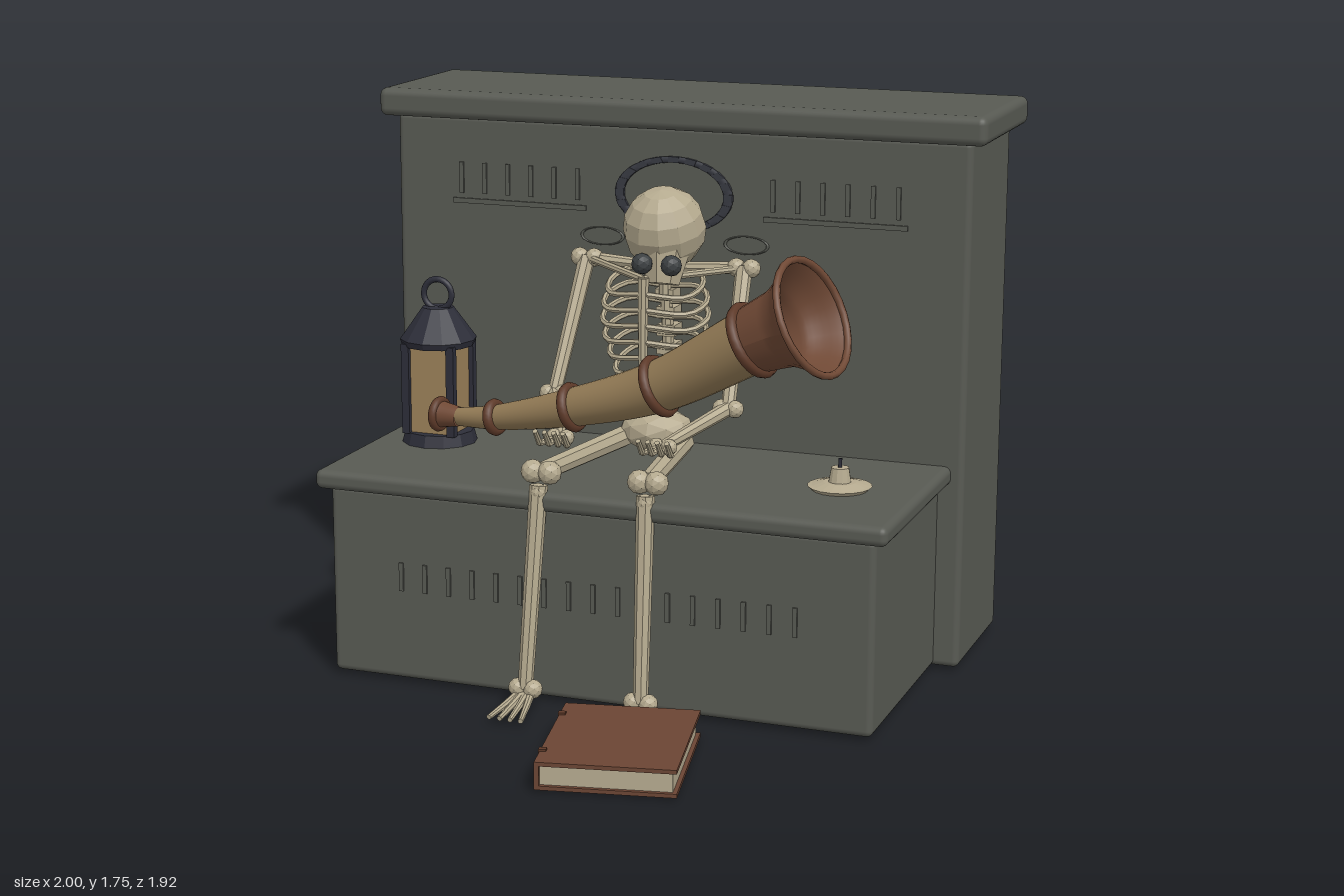
import * as THREE from 'three';
import { RoundedBoxGeometry } from 'three/addons/geometries/RoundedBoxGeometry.js';

const V = (x, y, z) => new THREE.Vector3(x, y, z);
const mat = (name, color, side = THREE.FrontSide) => {
  const m = new THREE.MeshStandardMaterial({ color, side });
  m.name = name;
  return m;
};

export function createModel() {
  const stone = mat('stone', 0x585a53);
  const bone = mat('bone', 0xb5aa8f);
  const socket = mat('eye socket', 0x3c4042);
  const iron = mat('dark iron', 0x2d2e39);
  const pane = mat('lantern pane', 0x9c8159);
  const hornTan = mat('horn tan', 0x927a55, THREE.DoubleSide);
  const copper = mat('copper', 0x704935, THREE.DoubleSide);
  const band = mat('dark copper', 0x5e3a29);
  const leather = mat('leather', 0x6b4534);
  const carving = mat('dark carving', 0x383a42);

  const model = new THREE.Group();
  const group = (name, parent = model) => {
    const g = new THREE.Group();
    g.name = name;
    parent.add(g);
    return g;
  };
  const add = (parent, name, geo, m, x = 0, y = 0, z = 0) => {
    const mesh = new THREE.Mesh(geo, m);
    mesh.name = name;
    mesh.position.set(x, y, z);
    parent.add(mesh);
    return mesh;
  };
  const flat = (geo) => {
    const g = geo.index ? geo.toNonIndexed() : geo;
    g.computeVertexNormals();
    return g;
  };
  const box = (w, h, d) => new THREE.BoxGeometry(w, h, d);
  const ball = (parent, name, p, r, m = bone) =>
    add(parent, name, flat(new THREE.IcosahedronGeometry(r, 1)), m, p.x, p.y, p.z);
  // Tapered rod between two points
  const rod = (parent, name, a, b, ra, rb = ra, m = bone) => {
    const d = b.clone().sub(a);
    const c = a.clone().add(b).multiplyScalar(0.5);
    const mesh = add(parent, name, flat(new THREE.CylinderGeometry(rb, ra, d.length(), 8)), m, c.x, c.y, c.z);
    mesh.quaternion.setFromUnitVectors(V(0, 1, 0), d.normalize());
    return mesh;
  };
  // Tube whose radius changes along its path
  const sweep = (points, radii, steps = 24, sides = 24) => {
    const curve = new THREE.CatmullRomCurve3(points);
    const geo = new THREE.TubeGeometry(curve, steps, 1, sides);
    const pos = geo.attributes.position;
    const v = V(0, 0, 0);
    for (let i = 0; i <= steps; i++) {
      const c = curve.getPointAt(i / steps);
      const t = curve.getUtoTmapping(i / steps) * (radii.length - 1);
      const k = Math.min(Math.floor(t), radii.length - 2);
      const r = THREE.MathUtils.lerp(radii[k], radii[k + 1], t - k);
      for (let j = 0; j <= sides; j++) {
        const n = i * (sides + 1) + j;
        v.fromBufferAttribute(pos, n).sub(c).multiplyScalar(r).add(c);
        pos.setXYZ(n, v.x, v.y, v.z);
      }
    }
    geo.computeVertexNormals();
    return geo;
  };

  // Stone wall and bench
  const seat = group('stoneSeat');
  const slab = (name, w, h, d, y, z, r) =>
    add(seat, name, new RoundedBoxGeometry(w, h, d, 3, r), stone, 0, y, z);
  slab('backWall', 1.9, 1.66, 0.49, 0.85, -0.685, 0.02);
  slab('wallCap', 2, 0.09, 0.56, 1.715, -0.68, 0.025);
  slab('benchBase', 1.74, 0.6, 0.74, 0.32, -0.11, 0.02);
  slab('benchTop', 1.82, 0.06, 0.76, 0.64, -0.09, 0.022);

  // Shallow relief: rails, plain notches and a wreath
  const relief = group('relief');
  for (const s of [-1, 1]) {
    add(relief, 'rail', box(0.46, 0.016, 0.009), stone, s * 0.525, 1.405, -0.438);
    for (let i = 0; i < 6; i++) add(relief, 'notch', box(0.014, 0.1, 0.009), stone, s * 0.525 + (i - 2.5) * 0.08, 1.48, -0.438);
    const loop = add(relief, 'sideLoop', new THREE.TorusGeometry(0.07, 0.005, 6, 24), stone, s * 0.24, 1.32, -0.437);
    loop.scale.set(1, 0.4, 1);
  }
  for (let i = 0; i < 17; i++) add(relief, 'benchNotch', box(0.014, 0.09, 0.009), stone, (i - 8) * 0.079, 0.35, 0.262);
  const wreath = group('wreath', relief);
  wreath.position.set(0, 1.465, -0.435);
  wreath.scale.set(1, 0.62, 0.3);
  add(wreath, 'wreathRing', new THREE.TorusGeometry(0.18, 0.016, 8, 40), carving);
  for (let i = 0; i < 20; i++) {
    const a = (i / 20) * Math.PI * 2;
    add(wreath, 'wreathKnob', box(0.03, 0.035, 0.04), carving, Math.cos(a) * 0.18, Math.sin(a) * 0.18, 0).rotation.z = a;
  }

  // Skull, bowed forward
  const skeleton = group('skeleton');
  const skull = group('skull', skeleton);
  skull.position.set(0.03, 1.39, -0.27);
  add(skull, 'cranium', flat(new THREE.SphereGeometry(0.13, 12, 8)), bone).rotation.set(0.3, 0.2, 0);
  const face = add(skull, 'jaw', flat(new THREE.CylinderGeometry(0.085, 0.055, 0.12, 8)), bone, 0.015, -0.105, 0.045);
  face.rotation.x = -0.25;
  for (const x of [-0.03, 0.065]) ball(skull, 'eyeSocket', V(x, -0.093, 0.118), 0.033, socket);

  // Spine, ribs and pelvis
  const torso = group('torso', skeleton);
  for (let i = 0; i < 9; i++) {
    const t = i / 8;
    const z = -0.33 - 0.07 * Math.sin(Math.PI * (0.18 + 0.72 * (1 - t)));
    const y = 1.28 - t * 0.47;
    add(torso, 'vertebra', box(0.06, 0.036, 0.07), bone, 0, y, z);
    add(torso, 'disc', flat(new THREE.CylinderGeometry(0.02, 0.02, 0.06, 8)), bone, 0, y - 0.03, z + 0.01);
  }
  rod(torso, 'neck', V(0, 1.26, -0.37), V(0.02, 1.33, -0.3), 0.025);
  rod(torso, 'sternum', V(0, 0.94, -0.16), V(0, 1.25, -0.165), 0.014, 0.018);
  for (let i = 0; i < 6; i++) {
    const y = 1.24 - i * 0.05;
    const w = 0.13 + 0.04 * Math.sin((i + 1) * 0.55);
    for (const s of [-1, 1]) {
      const path = new THREE.CatmullRomCurve3([
        V(0, y, -0.37), V(s * w * 0.7, y + 0.005, -0.36), V(s * w, y - 0.025, -0.28),
        V(s * w * 0.8, y - 0.05, -0.2), V(0, y - 0.04, -0.16)]);
      add(torso, 'rib', flat(new THREE.TubeGeometry(path, 14, 0.0095, 6)), bone);
    }
  }
  const pelvis = ball(torso, 'pelvis', V(0, 0.745, -0.29), 0.1);
  pelvis.scale.set(1.2, 0.7, 1);

  // Arms and legs, mirrored
  for (const s of [-1, 1]) {
    const side = s > 0 ? 'left' : 'right';
    const P = (x, y, z) => V(s * x, y, z);
    const joint = (g, name, p, r, spread) => {
      for (const k of [-1, 1]) ball(g, name, p.clone().add(V(k * spread, 0, 0)), r);
    };

    const arm = group(side + 'Arm', skeleton);
    const shoulder = P(0.26, 1.265, -0.355), elbow = P(0.285, 0.87, -0.14), wrist = P(0.165, 0.8, 0.11);
    rod(arm, 'collarBone', V(0, 1.25, -0.36), shoulder, 0.016, 0.02);
    rod(arm, 'frontCollarBone', V(0, 1.245, -0.17), shoulder, 0.012);
    joint(arm, 'shoulder', shoulder, 0.03, 0.024);
    rod(arm, 'upperArm', shoulder, elbow, 0.027, 0.022);
    joint(arm, 'elbow', elbow, 0.028, 0.022);
    rod(arm, 'forearm', elbow, wrist, 0.024, 0.018);
    joint(arm, 'wrist', wrist, 0.025, 0.02);
    for (let i = 0; i < 4; i++) {
      const x = 0.12 + i * 0.03;
      const knuckle = P(x, 0.79, 0.165);
      rod(arm, 'palmBone', wrist, knuckle, 0.01);
      rod(arm, 'finger', knuckle, P(x, 0.835, 0.2), 0.01, 0.008);
    }

    const leg = group(side + 'Leg', skeleton);
    const knee = P(0.17, 0.725, 0.25), ankle = P(0.185, 0.075, 0.35);
    rod(leg, 'thigh', P(0.1, 0.72, -0.26), knee, 0.034, 0.03);
    joint(leg, 'knee', knee, 0.037, 0.027);
    ball(leg, 'shinHead', P(0.17, 0.67, 0.275), 0.027);
    rod(leg, 'shin', P(0.17, 0.69, 0.27), ankle, 0.028, 0.023);
    joint(leg, 'ankle', ankle, 0.03, 0.024);
    for (let i = 0; i < 4; i++) {
      const k = i - 1.5;
      const mid = P(0.185 + k * 0.022, 0.045, 0.42);
      rod(leg, 'footBone', ankle.clone().add(V(k * s * 0.012, -0.015, 0)), mid, 0.013, 0.011);
      rod(leg, 'toe', mid, P(0.185 + k * 0.034, 0.03, 0.51), 0.011, 0.008);
    }
  }

  // Long horn laid across the lap
  const horn = group('horn');
  const path = [V(-0.55, 0.845, 0.14), V(-0.48, 0.845, 0.152), V(-0.35, 0.86, 0.175), V(-0.08, 0.925, 0.22),
    V(0.205, 1.02, 0.25), V(0.505, 1.19, 0.295), V(0.6, 1.235, 0.31), V(0.65, 1.257, 0.317), V(0.69, 1.275, 0.325)];
  add(horn, 'mouthpiece', sweep(path.slice(0, 2), [0.045, 0.03], 8), copper);
  add(horn, 'hornBody', sweep(path.slice(1, 6), [0.028, 0.037, 0.058, 0.078, 0.096], 40), hornTan);
  add(horn, 'bell', sweep(path.slice(5), [0.098, 0.115, 0.145, 0.172], 16), copper);
  const ring = (i, r, tube, m) => {
    const dir = path[Math.min(i + 1, 8)].clone().sub(path[Math.max(i - 1, 0)]).normalize();
    const mesh = add(horn, 'hornRing', new THREE.TorusGeometry(r, tube, 8, 28), m, path[i].x, path[i].y, path[i].z);
    mesh.quaternion.setFromUnitVectors(V(0, 0, 1), dir);
  };
  ring(0, 0.042, 0.013, band);
  ring(2, 0.041, 0.016, band);
  ring(3, 0.06, 0.016, band);
  ring(4, 0.08, 0.016, band);
  ring(5, 0.1, 0.017, band);
  ring(8, 0.172, 0.011, copper);

  // Lantern
  const lantern = group('lantern');
  lantern.position.set(-0.703, 0.67, -0.19);
  add(lantern, 'lanternBase', flat(new THREE.CylinderGeometry(0.11, 0.12, 0.038, 12)), iron, 0, 0.019, 0);
  add(lantern, 'panes', box(0.15, 0.28, 0.15), pane, 0, 0.178, 0);
  for (const x of [-1, 1]) for (const z of [-1, 1]) add(lantern, 'post', box(0.026, 0.29, 0.026), iron, x * 0.077, 0.18, z * 0.077);
  add(lantern, 'eaves', flat(new THREE.CylinderGeometry(0.122, 0.115, 0.02, 12)), iron, 0, 0.325, 0);
  add(lantern, 'roof', flat(new THREE.CylinderGeometry(0.05, 0.122, 0.1, 12)), iron, 0, 0.385, 0);
  add(lantern, 'handleRing', new THREE.TorusGeometry(0.048, 0.01, 8, 24), iron, 0, 0.475, 0);

  // Candle stub on a dish
  const candle = group('candle');
  candle.position.set(0.662, 0.67, -0.075);
  const dish = [[0, 0], [0.085, 0], [0.098, 0.012], [0.085, 0.014], [0.05, 0.024], [0, 0.024]];
  add(candle, 'dish', flat(new THREE.LatheGeometry(dish.map(([x, y]) => new THREE.Vector2(x, y)), 18)), bone);
  add(candle, 'stub', flat(new THREE.CylinderGeometry(0.027, 0.035, 0.045, 12)), bone, 0, 0.045, 0);
  add(candle, 'wick', new THREE.CylinderGeometry(0.006, 0.006, 0.03, 6), iron, 0, 0.08, 0);

  // Closed book on the ground
  const book = group('book');
  book.position.set(0.245, 0, 0.68);
  book.rotation.y = 0.203;
  for (const y of [0.02, 0.09]) add(book, 'cover', box(0.4, 0.012, 0.49), leather, 0, y, 0);
  add(book, 'pages', box(0.375, 0.06, 0.465), bone, 0, 0.055, 0);
  add(book, 'spine', box(0.014, 0.08, 0.49), leather, -0.195, 0.055, 0);
  for (const z of [-0.15, 0.15]) add(book, 'spineBand', box(0.022, 0.094, 0.02), band, -0.194, 0.055, z);

  return model;
}
